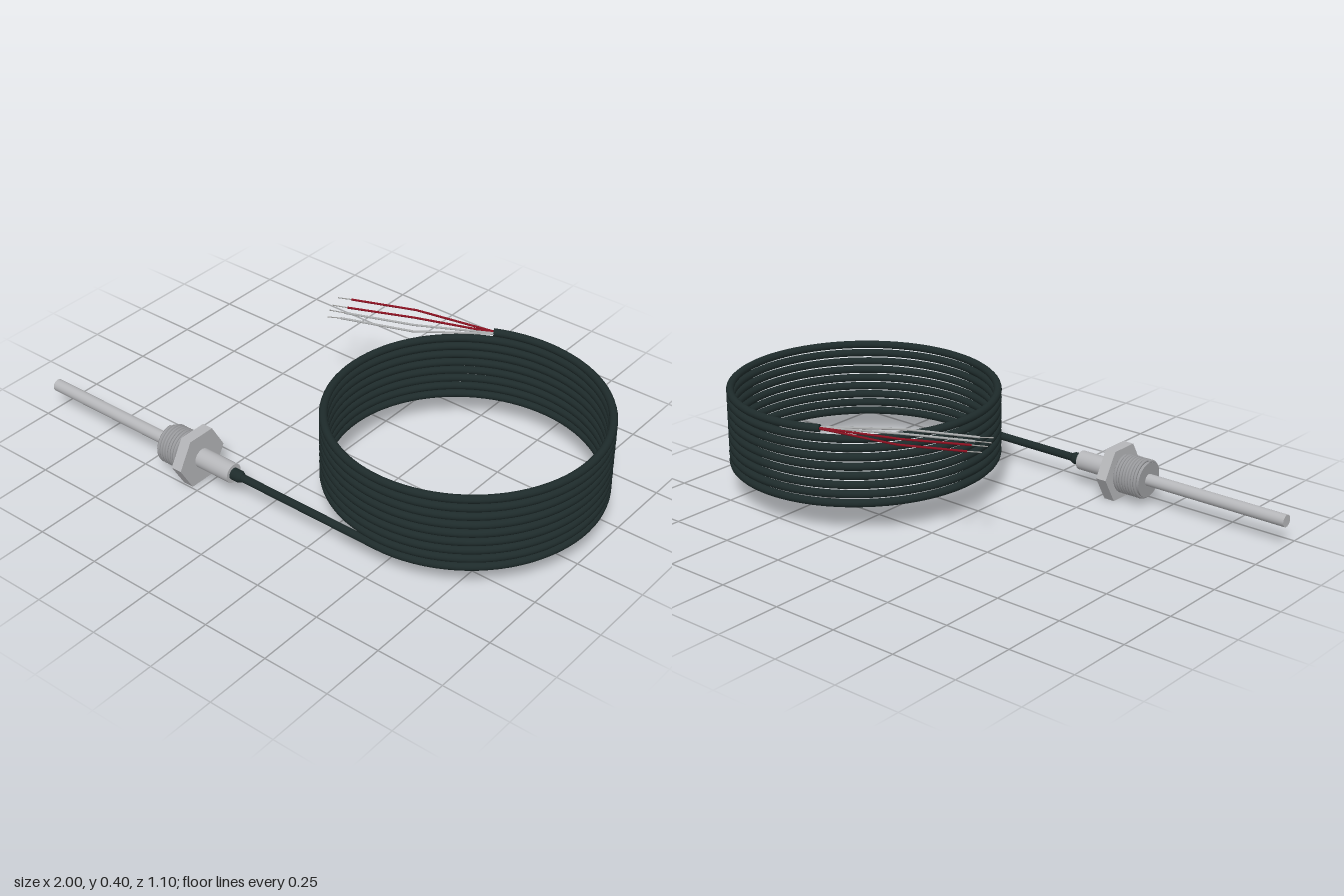
import * as THREE from 'three';

const material = (name, color) => new THREE.MeshStandardMaterial({ name, color });
const AXIS_Y = 0.0953, AXIS_Z = 0.438;            // probe axis, parallel to x
const COIL = { x: 0.5, z: -0.0475, r: 0.4855, pitch: 0.034, turns: 8 + 205 / 360 };
const CABLE_R = 0.0145, CABLE_START = -0.1;

// Straight lead followed by a rising coil, parameterised by length
class CablePath extends THREE.Curve {
  constructor() {
    super();
    this.arcLengthDivisions = 1500;
  }
  getPoint(t, target = new THREE.Vector3()) {
    const lead = COIL.x - CABLE_START;
    const coil = COIL.turns * Math.PI * 2 * COIL.r;
    const s = t * (lead + coil);
    if (s < lead) return target.set(CABLE_START + s, AXIS_Y, AXIS_Z);
    const a = (s - lead) / COIL.r;
    return target.set(
      COIL.x + COIL.r * Math.sin(a),
      AXIS_Y + COIL.pitch * a / (Math.PI * 2),
      COIL.z + COIL.r * Math.cos(a));
  }
}

// Helical ridge of the screw thread
class ThreadPath extends THREE.Curve {
  constructor(x0, x1, r, turns) {
    super();
    Object.assign(this, { x0, x1, r, turns });
  }
  getPoint(t, target = new THREE.Vector3()) {
    const a = t * this.turns * Math.PI * 2;
    return target.set(this.x0 + (this.x1 - this.x0) * t, this.r * Math.cos(a), this.r * Math.sin(a));
  }
}

export function createModel() {
  const steel = material('steel', 0xb5b6b9);
  const threadSteel = material('thread steel', 0x9c9da0);
  const rubber = material('dark cable jacket', 0x1e2b2b);
  const red = material('red insulation', 0x8a1020);
  const grey = material('pale insulation', 0xa9abac);
  const bare = material('bare wire', 0x9a9a98);

  const model = new THREE.Group();
  model.name = 'coiledCableProbe';
  const add = (parent, name, geometry, mat) => {
    const mesh = new THREE.Mesh(geometry, mat);
    mesh.name = name;
    parent.add(mesh);
    return mesh;
  };

  // Probe: everything that lies on the common axis
  const probe = new THREE.Group();
  probe.name = 'probe';
  probe.position.set(0, AXIS_Y, AXIS_Z);
  model.add(probe);
  const rod = (name, mat, x0, x1, r0, r1 = r0, sides = 32) => {
    let g = new THREE.CylinderGeometry(r1, r0, x1 - x0, sides);
    if (sides <= 6) {
      g = g.toNonIndexed();
      g.computeVertexNormals();
    }
    const mesh = add(probe, name, g, mat);
    mesh.rotation.z = -Math.PI / 2;
    mesh.position.x = (x0 + x1) / 2;
  };
  rod('sensorTube', steel, -1, -0.42, 0.0225);
  rod('threadCore', threadSteel, -0.43, -0.31, 0.065);
  rod('hexNut', steel, -0.319, -0.277, 0.11, 0.11, 6);
  rod('sleeve', steel, -0.28, -0.13, 0.036);
  rod('strainRelief', rubber, -0.132, -0.1, 0.022);
  rod('strainReliefTip', rubber, -0.1, -0.088, 0.022, 0.016);
  add(probe, 'threadRidge',
    new THREE.TubeGeometry(new ThreadPath(-0.424, -0.326, 0.067, 8), 320, 0.0065, 6), threadSteel);

  // Coiled cable with a closed end
  const path = new CablePath();
  add(model, 'coiledCable', new THREE.TubeGeometry(path, 760, CABLE_R, 12), rubber);
  const end = path.getPoint(1);
  const direction = path.getTangent(1);
  const cap = add(model, 'cableEnd', new THREE.CircleGeometry(CABLE_R, 16), rubber);
  cap.position.copy(end);
  cap.lookAt(end.clone().add(direction));

  // Four loose wires: bend, end of insulation and bare tip, each as [x, z]
  const wires = [
    { mat: red, points: [[-0.01, -0.433], [-0.235, -0.337], [-0.28, -0.315]] },
    { mat: red, points: [[0.015, -0.387], [-0.21, -0.284], [-0.262, -0.262]] },
    { mat: grey, points: [[0.045, -0.347], [-0.195, -0.25], [-0.25, -0.228]] },
    { mat: grey, points: [[0.067, -0.31], [-0.185, -0.212], [-0.225, -0.188]] },
  ];
  const up = new THREE.Vector3(0, 1, 0);
  const strand = (parent, name, mat, a, b, r) => {
    const span = b.clone().sub(a);
    const mesh = add(parent, name, new THREE.CylinderGeometry(r, r, span.length(), 8), mat);
    mesh.position.copy(a).add(b).multiplyScalar(0.5);
    mesh.quaternion.setFromUnitVectors(up, span.normalize());
  };
  wires.forEach(({ mat, points }, i) => {
    const wire = new THREE.Group();
    wire.name = `wire${i + 1}`;
    model.add(wire);
    const start = end.clone().add(new THREE.Vector3(0.01, 0, (i - 1.5) * 0.004));
    const [bend, tip, bareTip] = points.map(([x, z], k) =>
      new THREE.Vector3(x, end.y + [0, 0.004, 0.005][k], z));
    strand(wire, 'innerInsulation', mat, start, bend, 0.004);
    strand(wire, 'outerInsulation', mat, bend, tip, 0.004);
    strand(wire, 'bareTip', bare, tip, bareTip, 0.002);
  });

  return model;
}
